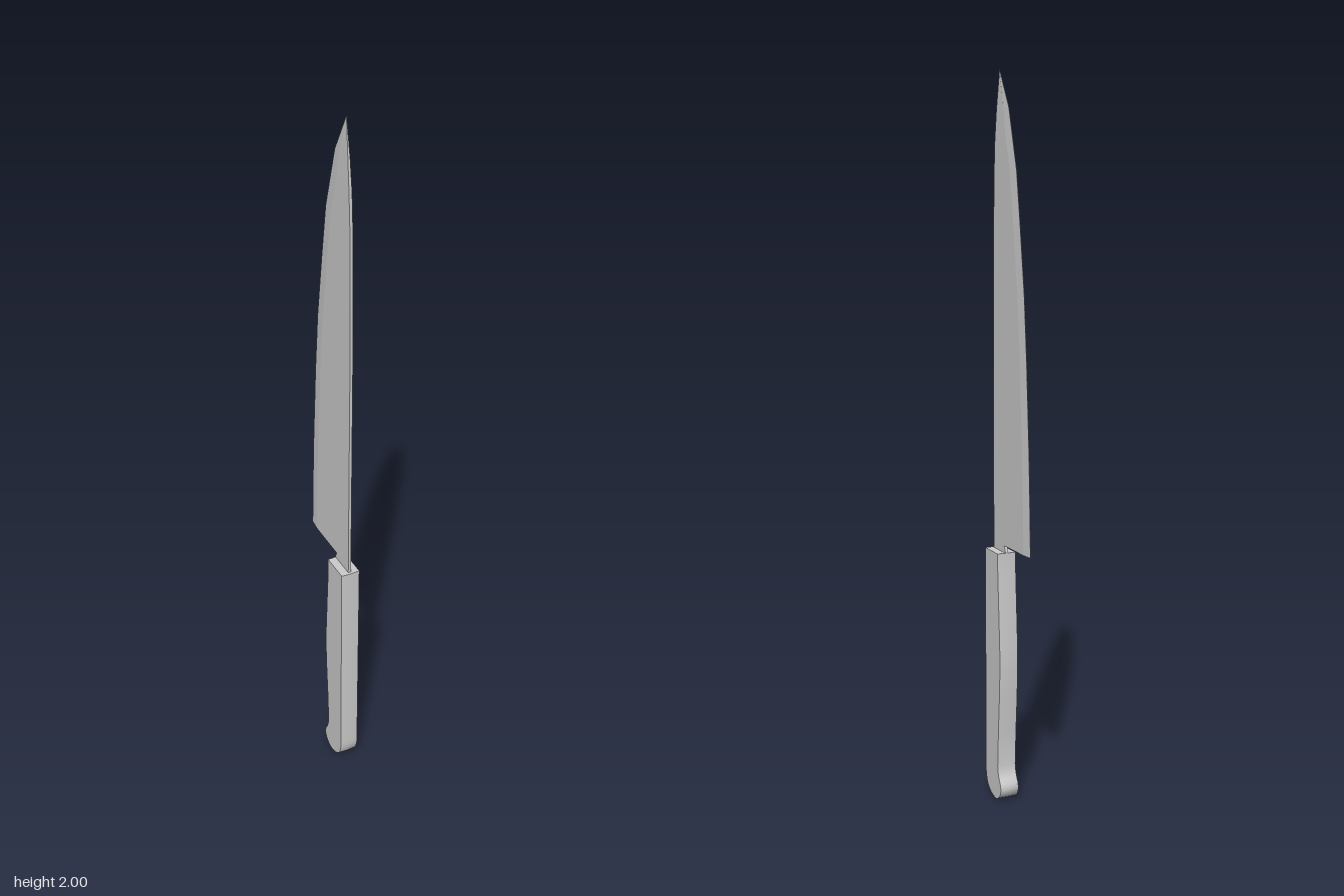
import * as THREE from 'three';
import { toCreasedNormals } from 'three/addons/utils/BufferGeometryUtils.js';

// Skin a stack of rings; each ring runs counter-clockwise seen from above.
function loft(rings, crease) {
  const n = rings[0].length;
  const index = [];
  for (let r = 0; r < rings.length - 1; r++) {
    for (let i = 0; i < n; i++) {
      const j = (i + 1) % n, a = r * n, b = a + n;
      index.push(a + i, a + j, b + j, a + i, b + j, b + i);
    }
  }
  const top = (rings.length - 1) * n;
  for (let i = 1; i < n - 1; i++) {
    index.push(0, i + 1, i, top, top + i, top + i + 1);
  }
  const geometry = new THREE.BufferGeometry();
  geometry.setAttribute('position', new THREE.Float32BufferAttribute(rings.flat(2), 3));
  geometry.setIndex(index);
  return toCreasedNormals(geometry, crease);
}

// Blade section: flat sides, then a bevel closing to half-width e at the edge.
function bladeRing([y, spine, edge, w = 0.004, e = 0.0003]) {
  const bevel = edge + Math.min(0.035, (spine - edge) * 0.4);
  return [
    [w, y, spine], [w, y, bevel], [e, y, edge],
    [-e, y, edge], [-w, y, bevel], [-w, y, spine],
  ];
}

// Handle section: flat sides with slightly peaked front and back.
function handleRing([y, front, back]) {
  const w = 0.027, peak = Math.min(0.002, (front - back) * 0.1);
  return [
    [w, y, front - peak], [w, y, back + peak], [0, y, back],
    [-w, y, back + peak], [-w, y, front - peak], [0, y, front],
  ];
}

export function createModel() {
  const group = new THREE.Group();
  const material = new THREE.MeshStandardMaterial({ color: 0xcccccc });
  const add = (name, geometry) => {
    const mesh = new THREE.Mesh(geometry, material);
    mesh.name = name;
    group.add(mesh);
  };

  // Blade: neck, heel step, then the curve to the tip (y, spine z, edge z)
  const bladeRows = [
    [0.69, 0.112, 0.034, 0.004, 0.004],
    [0.715, 0.112, 0.034, 0.004, 0.004],
    [0.725, 0.112, 0.038, 0.004, 0.004],
    [0.731, 0.112, 0.042, 0.004, 0.004],
    [0.732, 0.112, -0.119],
    [0.85, 0.112, -0.115],
    [1.0, 0.112, -0.109],
    [1.25, 0.112, -0.093],
    [1.42, 0.112, -0.078],
    [1.6, 0.109, -0.052],
    [1.74, 0.105, -0.03],
    [1.82, 0.1, -0.006],
    [1.9, 0.091, 0.018, 0.003],
    [2.0, 0.077, 0.0765, 0.0003, 0.0001],
  ];
  add('blade', loft(bladeRows.map(bladeRing), 0.02));

  // Handle: rounded butt with a rear knob, gentle belly, flat top (y, front z, back z)
  const handleRows = [
    [0, 0.06, 0.045],
    [0.006, 0.083, 0.032],
    [0.013, 0.095, 0.022],
    [0.024, 0.107, 0.015],
    [0.036, 0.114, 0.012],
    [0.05, 0.118, 0.015],
    [0.063, 0.12, 0.023],
    [0.078, 0.12, 0.03],
    [0.1, 0.12, 0.034],
    [0.2, 0.12, 0.029],
    [0.3, 0.12, 0.022],
    [0.38, 0.12, 0.018],
    [0.45, 0.12, 0.019],
    [0.55, 0.12, 0.025],
    [0.65, 0.12, 0.031],
    [0.695, 0.12, 0.033],
    [0.712, 0.12, 0.033],
  ];
  add('handle', loft(handleRows.map(handleRing), 0.6));

  return group;
}
